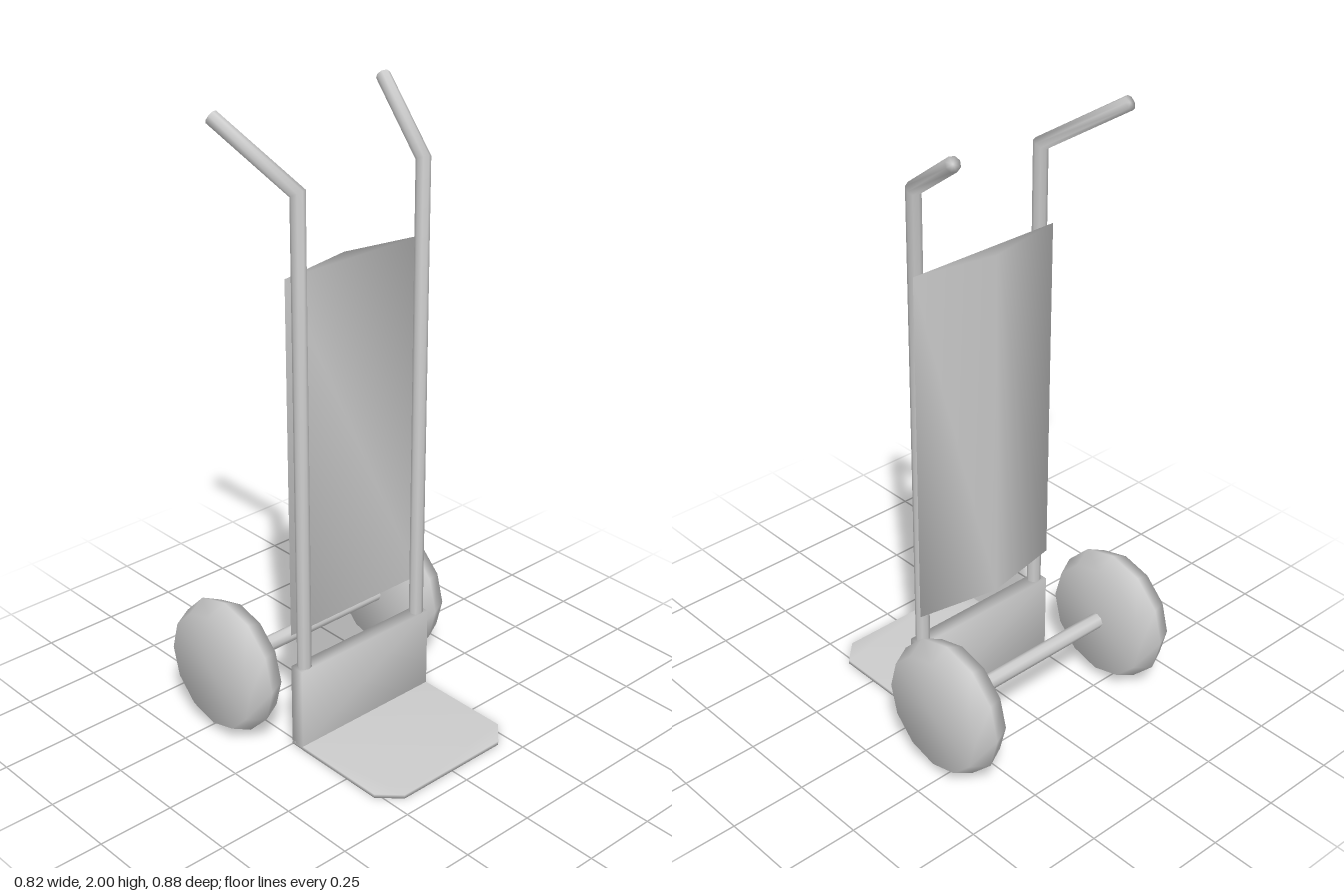
import * as THREE from 'three';
import { mergeVertices } from 'three/addons/utils/BufferGeometryUtils.js';

const grey = new THREE.MeshStandardMaterial({ color: 0xcccccc });

// Share corner vertices so that shading runs smoothly over all edges
function smooth(geometry) {
  geometry.deleteAttribute('normal');
  geometry.deleteAttribute('uv');
  geometry.clearGroups();
  const merged = mergeVertices(geometry, 1e-4);
  merged.computeVertexNormals();
  return merged;
}

function add(group, name, geometry, x = 0, y = 0, z = 0) {
  const mesh = new THREE.Mesh(smooth(geometry), grey);
  mesh.name = name;
  mesh.position.set(x, y, z);
  group.add(mesh);
  return mesh;
}

// Extrude an outline of [x, z] points upwards by a height
function slab(points, height) {
  const shape = new THREE.Shape(points.map(([x, z]) => new THREE.Vector2(x, -z)));
  return new THREE.ExtrudeGeometry(shape, { depth: height, bevelEnabled: false }).rotateX(-Math.PI / 2);
}

// Upright pole with a mitred bend into the handle
function poleGeometry(side) {
  const radius = 0.0225, up = new THREE.Vector3(0, 1, 0);
  const base = new THREE.Vector3(side * 0.238, 0.28, 0.026);
  const bend = new THREE.Vector3(side * 0.238, 1.808, 0.026);
  const tip = new THREE.Vector3(side * 0.323, 1.982, -0.235);
  const dir = tip.clone().sub(bend).normalize();
  const mitre = dir.clone().add(up);
  const turn = new THREE.Quaternion().setFromUnitVectors(up, dir);
  const geometry = new THREE.CylinderGeometry(radius, radius, 2, 8, 2);
  const pos = geometry.attributes.position;
  const v = new THREE.Vector3();
  for (let i = 0; i < pos.count; i++) {
    v.fromBufferAttribute(pos, i);
    const row = Math.round(v.y);
    v.y = 0;
    if (row === 1) v.applyQuaternion(turn).add(tip);
    else if (row === 0) {
      v.y = -(mitre.x * v.x + mitre.z * v.z) / mitre.y;
      v.add(bend);
    } else v.add(base);
    pos.setXYZ(i, v.x, v.y, v.z);
  }
  return geometry;
}

// Wheel with a ridged tread, axis along x
function wheelGeometry() {
  const profile = [[0, -0.062], [0.192, -0.062], [0.222, 0], [0.192, 0.062], [0, 0.062]];
  return new THREE.LatheGeometry(profile.map(([r, y]) => new THREE.Vector2(r, y)), 12).rotateZ(Math.PI / 2);
}

export function createModel() {
  const group = new THREE.Group();
  group.name = 'handTruck';

  // Load plate with chamfered front corners, and the upright behind it
  add(group, 'toePlate', slab([
    [-0.268, -0.003], [-0.268, 0.375], [-0.203, 0.439],
    [0.203, 0.439], [0.268, 0.375], [0.268, -0.003],
  ], 0.013), 0, 0.003, 0);
  add(group, 'lowerUpright', new THREE.BoxGeometry(0.536, 0.28, 0.05), 0, 0.15, 0.024);

  // Back panel: flat in front, with a shallow ridge behind
  add(group, 'backPanel', slab([[-0.268, 0], [0.268, 0], [0, -0.051]], 1.16), 0, 0.4, 0);

  // Axle
  add(group, 'axle', new THREE.CylinderGeometry(0.025, 0.025, 0.6, 8).rotateZ(Math.PI / 2), 0, 0.23, -0.218);

  // Poles and wheels, mirrored
  for (const side of [-1, 1]) {
    const label = side > 0 ? 'left' : 'right';
    add(group, label + 'Pole', poleGeometry(side));
    add(group, label + 'Wheel', wheelGeometry(), side * 0.35, 0.23, -0.218);
  }
  return group;
}
